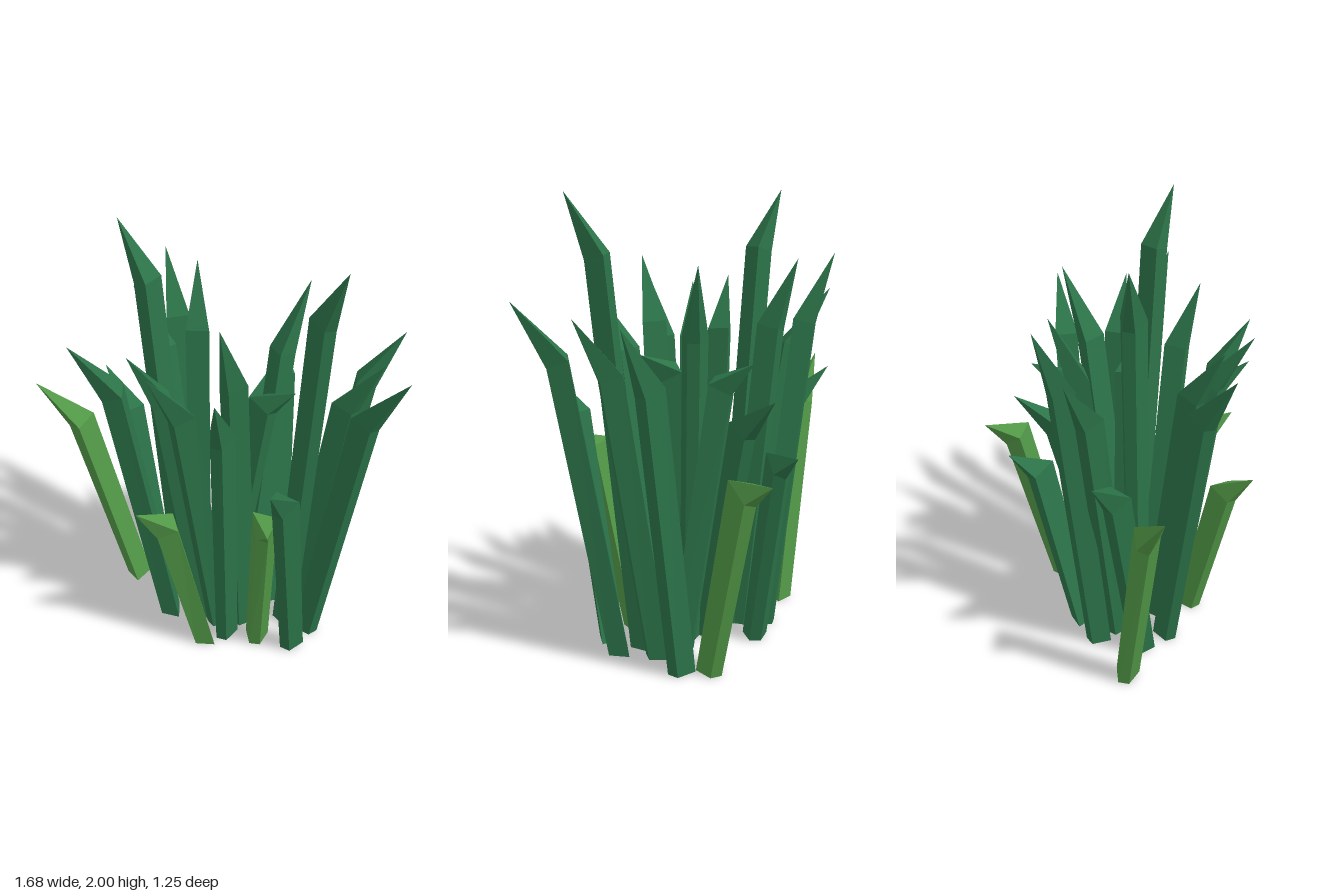
import * as THREE from 'three';

const darkGreen = new THREE.MeshStandardMaterial({ color: 0x2c7449, flatShading: true });
darkGreen.name = 'dark green';
const lightGreen = new THREE.MeshStandardMaterial({ color: 0x529847, flatShading: true });
lightGreen.name = 'light green';

// Each blade: base x, base z, tip x, tip z, tip height, knee height ratio, twist in degrees
const darkBlades = [
  // back left
  [-0.26, -0.14, -0.53, -0.45, 1.18, 0.86, 10],
  [-0.09, -0.2, -0.38, -0.5, 1.57, 0.84, 10],
  [-0.12, -0.31, -0.23, -0.57, 1.74, 0.83, 10],
  [-0.07, -0.2, -0.08, -0.46, 1.72, 0.83, 10],
  [-0.15, -0.12, -0.41, -0.24, 2.0, 0.87, 10],
  // back right
  [0.04, -0.34, 0.22, -0.6, 0.93, 0.93, 30],
  [0.12, -0.14, 0.31, -0.53, 1.18, 0.87, 10],
  [0.31, -0.1, 0.31, -0.44, 1.33, 0.92, -12],
  [0.16, -0.07, 0.42, -0.24, 1.72, 0.82, 10],
  [0.49, -0.19, 0.84, -0.14, 1.52, 0.83, 0],
  // front right
  [0.06, -0.09, 0.35, 0.07, 1.33, 0.93, 20],
  [0.36, 0.07, 0.5, 0.33, 2.0, 0.87, 10],
  [0.41, -0.04, 0.7, 0.17, 1.52, 0.84, 10],
  [0.46, 0.13, 0.76, 0.42, 1.58, 0.84, 10],
  [0.37, 0.24, 0.22, 0.62, 1.18, 0.86, 10],
  [0.14, 0.07, 0.02, 0.25, 1.72, 0.83, 10],
  // front left
  [0.05, 0.17, 0.0, 0.49, 1.52, 0.84, 10],
  [-0.22, 0.01, -0.61, 0.12, 1.58, 0.84, 15],
  [-0.05, 0.03, -0.36, 0.19, 1.57, 0.84, 10],
  [0.02, 0.08, -0.27, 0.37, 1.57, 0.84, 10],
];
const lightBlades = [
  [-0.41, -0.275, -0.84, -0.27, 1.18, 0.82, 35],
  [-0.05, 0.21, -0.34, 0.37, 0.9, 0.86, 15],
  [0.205, 0.2, 0.22, 0.54, 0.91, 0.94, 12],
  [0.43, -0.31, 0.555, -0.63, 0.91, 0.94, 18],
];

// Wedge-like cross-section: wide face inward, narrow face outward
const section = [[0.05, 0.026], [0.05, -0.026], [-0.038, -0.055], [-0.038, 0.055]];

// Stem leaning outward, bent at a mitred knee into a pointed leaf
function bladeGeometry([bx, bz, tx, tz, height, kneeRatio, twist]) {
  const reach = Math.hypot(tx - bx, tz - bz);
  const kneeOut = reach * 0.55;
  const kneeY = height * kneeRatio;
  const lean = Math.atan2(kneeOut, kneeY);
  const bend = Math.atan2(reach - kneeOut, height - kneeY);
  const mitre = Math.tan((lean + bend) / 2);

  const c = Math.cos(THREE.MathUtils.degToRad(twist));
  const s = Math.sin(THREE.MathUtils.degToRad(twist));
  const ring = section.map(([u, t]) => [u * c - t * s, u * s + t * c]);
  const base = ring.map(([u, t]) => [u, 0, t]);
  const knee = ring.map(([u, t]) => [kneeOut + u, kneeY - u * mitre, t]);
  const tip = [reach, height, 0];

  const points = [];
  for (let i = 0; i < 4; i++) {
    const j = (i + 1) % 4;
    points.push(base[i], base[j], knee[j], base[i], knee[j], knee[i]);
    points.push(knee[i], knee[j], tip);
  }
  points.push(base[0], base[2], base[1], base[0], base[3], base[2]);

  const geo = new THREE.BufferGeometry();
  geo.setAttribute('position', new THREE.Float32BufferAttribute(points.flat(), 3));
  geo.rotateY(-Math.atan2(tz - bz, tx - bx));
  geo.translate(bx, 0, bz);
  geo.computeVertexNormals();
  return geo;
}

export function createModel() {
  const group = new THREE.Group();
  group.name = 'grassClump';
  const addBlades = (name, list, material) => {
    const set = new THREE.Group();
    set.name = name + 's';
    list.forEach((blade, i) => {
      const mesh = new THREE.Mesh(bladeGeometry(blade), material);
      mesh.name = name + (i + 1);
      set.add(mesh);
    });
    group.add(set);
  };
  addBlades('darkBlade', darkBlades, darkGreen);
  addBlades('lightBlade', lightBlades, lightGreen);
  return group;
}
